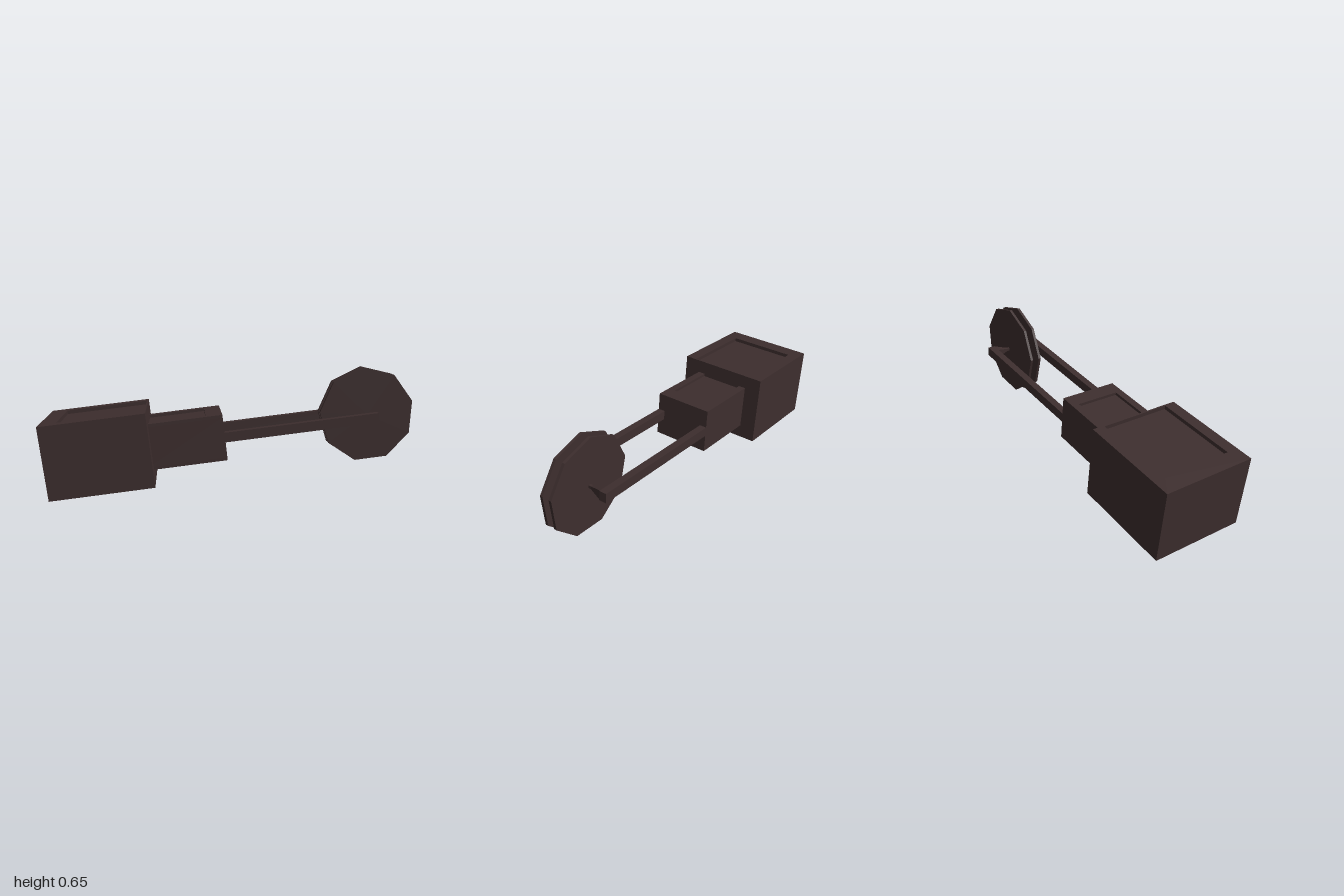
import * as THREE from 'three';

export function createModel() {
  const model = new THREE.Group();
  const dark = new THREE.MeshStandardMaterial({ color: 0x3d2e2e });
  dark.name = 'dark brown';

  // Everything is built along a level axis, then tilted upwards
  const tilt = new THREE.Group();
  tilt.name = 'tiltedAssembly';
  tilt.position.set(-0.705, 0.23, 0);
  tilt.rotation.z = 0.1149;
  model.add(tilt);

  function add(parent, name, geometry, x = 0, y = 0, z = 0) {
    const mesh = new THREE.Mesh(geometry, dark);
    mesh.name = name;
    mesh.position.set(x, y, z);
    parent.add(mesh);
    return mesh;
  }

  function rectangle(target, x0, x1, z) {
    target.moveTo(x0, -z);
    target.lineTo(x1, -z);
    target.lineTo(x1, z);
    target.lineTo(x0, z);
    target.closePath();
    return target;
  }

  // Block with a shallow rectangular pocket in its top and bottom
  function pocketBlock(name, x0, x1, height, halfDepth, p0, p1, pocketZ, depth) {
    const block = new THREE.Group();
    block.name = name;
    const coreHeight = height - 2 * depth;
    add(block, name + 'Core', new THREE.BoxGeometry(x1 - x0, coreHeight, 2 * halfDepth), (x0 + x1) / 2);
    const shape = rectangle(new THREE.Shape(), x0, x1, halfDepth);
    shape.holes.push(rectangle(new THREE.Path(), p0, p1, pocketZ));
    const rim = new THREE.ExtrudeGeometry(shape, { depth, bevelEnabled: false });
    rim.rotateX(-Math.PI / 2);
    add(block, name + 'TopRim', rim, 0, coreHeight / 2);
    add(block, name + 'BottomRim', rim, 0, -height / 2);
    tilt.add(block);
  }

  pocketBlock('rearBlock', -0.2745, 0.2745, 0.392, 0.253, -0.184, 0.266, 0.19, 0.02);
  pocketBlock('frontBlock', 0.25, 0.667, 0.246, 0.16, 0.262, 0.58, 0.12, 0.015);

  // Fork arms, tapered axle studs and the twin nine-sided discs
  const axleX = 1.463;
  for (const side of [1, -1]) {
    const label = side > 0 ? 'front' : 'back';
    add(tilt, label + 'Arm', new THREE.BoxGeometry(0.847, 0.052, 0.04), 1.0735, 0, side * 0.14);

    const stud = new THREE.CylinderGeometry(0.011, 0.0368, 0.07, 4, 1).toNonIndexed();
    stud.rotateY(Math.PI / 4);
    stud.rotateX(-side * Math.PI / 2);
    stud.computeVertexNormals();
    add(tilt, label + 'AxleStud', stud, axleX + 0.005, 0, side * 0.085);

    const disc = new THREE.CylinderGeometry(0.262, 0.262, 0.015, 9).toNonIndexed();
    disc.rotateX(Math.PI / 2);
    disc.rotateZ(Math.PI);
    disc.computeVertexNormals();
    add(tilt, label + 'Disc', disc, axleX, 0, side * 0.0265);
  }
  add(tilt, 'axle', new THREE.BoxGeometry(0.0156, 0.0156, 0.1), axleX + 0.005);

  return model;
}
